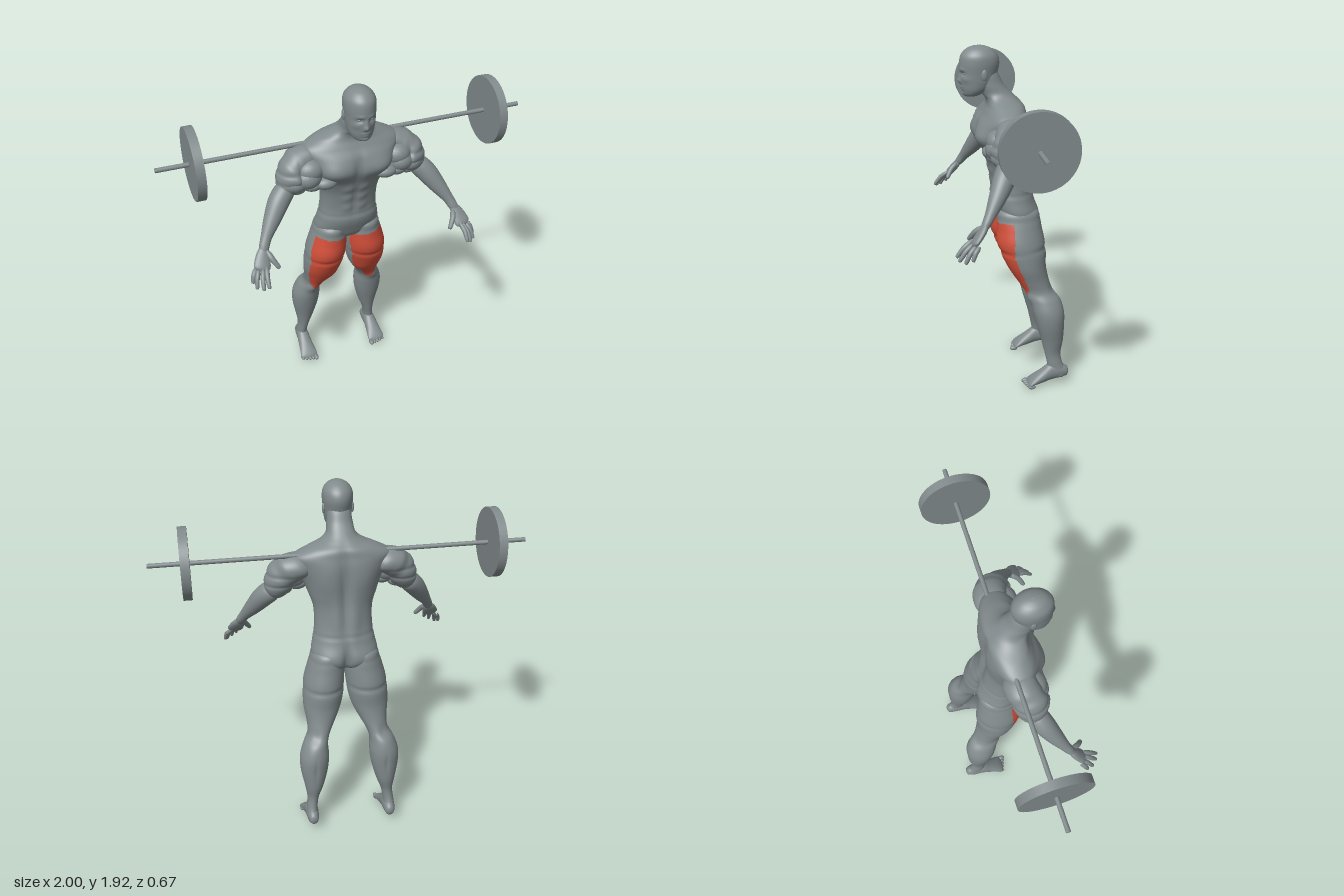
import * as THREE from 'three';

const V3 = (x, y, z) => new THREE.Vector3(x, y, z);
const UP = V3(0, 1, 0);

// Smooth skin over elliptical rings [x, y, z, halfWidth, halfDepth].
// bumps: [x, y, z, sizeX, sizeY, sizeZ, height], mirrored over x when twoSided.
function loft(rows, { n = 32, steps = 40, dir, square = 1, bumps = [], twoSided = false, paint } = {}) {
  const at = r => V3(rows[r][0], rows[r][1], rows[r][2]);
  const D = dir || at(rows.length - 1).sub(at(0)).normalize();
  const U = V3(1, 0, 0).addScaledVector(D, -D.x).normalize();
  const W = D.clone().cross(U);
  const spline = (t, k) => {
    const f = t * (rows.length - 1), i = Math.min(Math.floor(f), rows.length - 2), u = f - i;
    const p = j => rows[Math.max(0, Math.min(rows.length - 1, j))][k];
    const [a, b, c, d] = [p(i - 1), p(i), p(i + 1), p(i + 2)];
    return b + 0.5 * u * (c - a + u * (2 * a - 5 * b + 4 * c - d + u * (3 * (b - c) + d - a)));
  };
  const pow = v => Math.sign(v) * Math.abs(v) ** square;
  const pos = [], pts = [];
  for (let i = 0; i <= steps; i++) {
    const [x, y, z, ru, rv] = [0, 1, 2, 3, 4].map(k => spline(i / steps, k));
    for (let j = 0; j < n; j++) {
      const a = j / n * Math.PI * 2, c = pow(Math.cos(a)), s = pow(Math.sin(a));
      const out = U.clone().multiplyScalar(c).addScaledVector(W, s).normalize();
      const p = V3(x, y, z).addScaledVector(U, c * Math.max(ru, 0.001)).addScaledVector(W, s * Math.max(rv, 0.001));
      const px = twoSided ? Math.abs(p.x) : p.x;
      let h = 0;
      for (const b of bumps)
        h += b[6] * Math.exp(-(((px - b[0]) / b[3]) ** 2) - ((p.y - b[1]) / b[4]) ** 2 - ((p.z - b[2]) / b[5]) ** 2);
      p.addScaledVector(out, h);
      pts.push(p);
      pos.push(p.x, p.y, p.z);
    }
  }
  const lists = [[], []];
  for (let i = 0; i < steps; i++) for (let j = 0; j < n; j++) {
    const a = i * n + j, b = i * n + (j + 1) % n, c = b + n, d = a + n;
    const mid = pts[a].clone().add(pts[c]).multiplyScalar(0.5);
    lists[paint && paint(mid) ? 1 : 0].push(a, b, c, a, c, d);
  }
  const g = new THREE.BufferGeometry();
  g.setAttribute('position', new THREE.Float32BufferAttribute(pos, 3));
  g.setIndex([...lists[0], ...lists[1]]);
  if (paint) {
    g.addGroup(0, lists[0].length, 0);
    g.addGroup(lists[0].length, lists[1].length, 1);
  }
  g.computeVertexNormals();
  return g;
}

function mirrored(geo) {
  const g = geo.clone().scale(-1, 1, 1), idx = g.index;
  for (let i = 0; i < idx.count; i += 3) {
    const t = idx.getX(i + 1);
    idx.setX(i + 1, idx.getX(i + 2));
    idx.setX(i + 2, t);
  }
  return g;
}

const blob = (x, y, z, rx, ry = rx, rz = rx) => new THREE.SphereGeometry(1, 20, 14).scale(rx, ry, rz).translate(x, y, z);

// Tapered finger through a bent middle joint
function digit(a, b, r) {
  const m = a.clone().lerp(b, 0.5).add(V3(0.004, 0.004, 0.004));
  const e = b.clone().lerp(a, 0.06);
  const row = (p, k) => [p.x, p.y, p.z, r * k, r * k];
  return loft([row(a, 0.6), row(a.clone().lerp(m, 0.4), 1), row(m, 1), row(e, 0.75), row(b, 0.02)], { n: 10, steps: 14 });
}

export function createModel() {
  const model = new THREE.Group();
  const grey = new THREE.MeshStandardMaterial({ color: 0x818a8c });
  grey.name = 'grey';
  const red = new THREE.MeshStandardMaterial({ color: 0xd04e39 });
  red.name = 'muscleRed';
  const add = (name, geo, mat = grey) => {
    const m = new THREE.Mesh(geo, mat);
    m.name = name;
    model.add(m);
  };
  const pair = (name, geo, mat) => {
    add(name + 'Left', geo, mat);
    add(name + 'Right', mirrored(geo), mat);
  };

  // Torso, from the crotch to inside the skull
  const abs = [1.19, 1.255, 1.32].map(y => [0.04, y, 0.09, 0.03, 0.024, 0.05, 0.008]);
  add('torso', loft([
    [0, 0.93, -0.075, 0.01, 0.01], [0, 0.945, -0.075, 0.08, 0.06], [0, 0.975, -0.07, 0.16, 0.095],
    [0, 1.03, -0.06, 0.182, 0.112], [0, 1.10, -0.04, 0.17, 0.115], [0, 1.18, -0.03, 0.158, 0.103],
    [0, 1.28, -0.015, 0.16, 0.105], [0, 1.36, 0, 0.185, 0.117], [0, 1.44, 0.015, 0.215, 0.132],
    [0, 1.52, 0.015, 0.25, 0.13], [0, 1.57, 0.005, 0.258, 0.112], [0, 1.61, 0, 0.19, 0.098],
    [0, 1.64, 0.015, 0.115, 0.085], [0, 1.67, 0.04, 0.078, 0.08], [0, 1.72, 0.075, 0.068, 0.07],
    [0, 1.79, 0.1, 0.055, 0.055], [0, 1.80, 0.1, 0.005, 0.005]], {
    n: 72, steps: 120, dir: UP, square: 0.9, twoSided: true, bumps: [
      ...abs,
      [0.12, 1.455, 0.14, 0.09, 0.06, 0.08, 0.036],
      [0, 1.47, 0.15, 0.018, 0.08, 0.08, -0.014],
      [0, 1.25, 0.09, 0.012, 0.11, 0.05, -0.008],
      [0, 1.39, -0.12, 0.026, 0.19, 0.08, -0.022],
      [0.1, 1.45, -0.12, 0.07, 0.1, 0.06, 0.012],
      [0.045, 1.22, -0.12, 0.03, 0.1, 0.05, 0.008],
      [0.09, 1.0, -0.17, 0.07, 0.06, 0.07, 0.016],
      [0, 1.0, -0.18, 0.018, 0.08, 0.08, -0.03],
      [0, 1.135, -0.03, 1, 0.007, 1, -0.004],
    ],
  }));

  // Head with face relief
  add('head', loft([
    [0, 1.652, 0.185, 0.004, 0.004], [0, 1.662, 0.172, 0.04, 0.038], [0, 1.69, 0.153, 0.062, 0.07],
    [0, 1.73, 0.14, 0.072, 0.09], [0, 1.78, 0.135, 0.077, 0.1], [0, 1.83, 0.131, 0.081, 0.105],
    [0, 1.87, 0.132, 0.076, 0.096], [0, 1.90, 0.133, 0.054, 0.068], [0, 1.915, 0.134, 0.026, 0.035],
    [0, 1.92, 0.134, 0.001, 0.001]], {
    n: 80, steps: 80, dir: UP, twoSided: true, bumps: [
      [0, 1.738, 0.235, 0.013, 0.014, 0.05, 0.016],
      [0, 1.762, 0.235, 0.009, 0.02, 0.05, 0.007],
      [0.03, 1.778, 0.22, 0.016, 0.011, 0.04, -0.01],
      [0.026, 1.8, 0.225, 0.02, 0.008, 0.04, 0.004],
      [0, 1.707, 0.225, 0.02, 0.005, 0.04, 0.006],
      [0, 1.694, 0.225, 0.018, 0.005, 0.04, 0.006],
      [0, 1.67, 0.21, 0.02, 0.012, 0.04, 0.008],
      [0.045, 1.75, 0.2, 0.018, 0.016, 0.03, 0.004],
    ],
  }));
  pair('eye', blob(0.03, 1.778, 0.212, 0.012, 0.007, 0.008));
  pair('ear', blob(0.077, 1.775, 0.115, 0.008, 0.029, 0.016));

  // Legs, with the front of the thigh coloured and tapering to the knee
  const thighFront = p => p.y > 0.545 && p.y < Math.min(0.985, 0.962 + 0.13 * p.x)
    && p.z > (p.y > 0.8 ? -0.022 : -0.022 - (0.8 - p.y) * 0.42)
    && (p.y > 0.65 || Math.abs(p.x - 0.164) < 0.018 + 0.55 * (p.y - 0.55));
  pair('leg', loft([
    [0.225, 0.04, -0.28, 0.004, 0.004], [0.225, 0.055, -0.28, 0.026, 0.042], [0.225, 0.09, -0.27, 0.031, 0.054],
    [0.222, 0.14, -0.255, 0.030, 0.044], [0.214, 0.2, -0.244, 0.034, 0.046], [0.206, 0.28, -0.241, 0.055, 0.062],
    [0.202, 0.38, -0.229, 0.077, 0.079], [0.198, 0.46, -0.218, 0.081, 0.088], [0.187, 0.53, -0.2, 0.068, 0.085],
    [0.165, 0.58, -0.17, 0.062, 0.08], [0.148, 0.64, -0.138, 0.079, 0.088], [0.134, 0.72, -0.105, 0.104, 0.106],
    [0.124, 0.80, -0.086, 0.113, 0.125], [0.117, 0.87, -0.072, 0.112, 0.132], [0.106, 0.94, -0.067, 0.104, 0.123],
    [0.1, 0.99, -0.064, 0.094, 0.117], [0.095, 1.04, -0.058, 0.08, 0.105], [0.09, 1.08, -0.05, 0.01, 0.02]], {
    n: 88, steps: 136, dir: UP, paint: thighFront, bumps: [
      [0.12, 0.815, 0.05, 0.2, 0.014, 0.1, -0.008],
      [0.12, 0.83, -0.2, 0.2, 0.014, 0.1, -0.006],
      [0.19, 0.545, -0.12, 0.03, 0.03, 0.03, 0.01],
      [0.09, 0.68, -0.06, 0.04, 0.05, 0.06, 0.01],
      [0.19, 0.58, -0.25, 0.03, 0.04, 0.04, -0.008],
      [0.2, 0.4, -0.3, 0.012, 0.06, 0.03, -0.006],
    ],
  }), [grey, red]);

  // Feet and toes
  pair('foot', loft([
    [0.222, 0.08, -0.336, 0.004, 0.004], [0.222, 0.08, -0.325, 0.024, 0.03], [0.223, 0.086, -0.28, 0.034, 0.046],
    [0.224, 0.084, -0.23, 0.037, 0.053], [0.225, 0.059, -0.18, 0.042, 0.041], [0.225, 0.036, -0.13, 0.049, 0.025],
    [0.225, 0.022, -0.105, 0.047, 0.015], [0.225, 0.017, -0.095, 0.01, 0.006]], { dir: V3(0, 0, 1) }));
  for (let i = 0; i < 5; i++) {
    const x = 0.187 + i * 0.0195;
    pair('toe' + (i + 1), blob(x, i ? 0.012 : 0.014, -0.092 - i * 0.006, i ? 0.0105 : 0.014, i ? 0.012 : 0.014, 0.023));
  }

  // Arms with heavy, ridged upper muscles
  pair('upperArm', loft([
    [0.16, 1.55, -0.01, 0.03, 0.03], [0.21, 1.53, -0.008, 0.066, 0.078], [0.265, 1.505, 0, 0.078, 0.086],
    [0.3, 1.475, 0.015, 0.076, 0.086], [0.325, 1.445, 0.028, 0.086, 0.092], [0.35, 1.41, 0.035, 0.08, 0.084],
    [0.375, 1.375, 0.04, 0.06, 0.062], [0.395, 1.35, 0.045, 0.02, 0.02]], {
    steps: 70, n: 56, bumps: [
      [0.31, 1.52, 0.02, 0.06, 0.04, 0.1, 0.01], [0.29, 1.43, 0.1, 0.05, 0.04, 0.05, 0.016],
      [0.34, 1.47, 0.05, 0.1, 0.012, 0.15, -0.008], [0.34, 1.415, 0.05, 0.1, 0.01, 0.15, -0.008],
      [0.3, 1.45, 0.1, 0.012, 0.06, 0.06, -0.008]],
  }));
  // centre and size of each swollen muscle in front of the arm
  const swellings = [
    [0.255, 1.43, 0.07, 0.075, 0.062, 0.072], [0.235, 1.39, 0.075, 0.06, 0.038, 0.055],
    [0.32, 1.405, 0.07, 0.06, 0.048, 0.055], [0.362, 1.425, 0.035, 0.042, 0.04, 0.045],
    [0.31, 1.37, 0.055, 0.05, 0.036, 0.042], [0.24, 1.47, 0.07, 0.075, 0.06, 0.065],
    [0.165, 1.395, 0.1, 0.06, 0.035, 0.045]];
  swellings.forEach((s, i) => pair('armMuscle' + (i + 1), blob(...s)));
  pair('forearm', loft([
    [0.35, 1.40, 0.03, 0.03, 0.03], [0.375, 1.365, 0.045, 0.054, 0.056], [0.42, 1.315, 0.075, 0.056, 0.056],
    [0.47, 1.245, 0.115, 0.045, 0.044], [0.515, 1.18, 0.155, 0.03, 0.029], [0.537, 1.14, 0.18, 0.027, 0.023],
    [0.55, 1.115, 0.197, 0.02, 0.016]], { steps: 44 }));

  // Hands
  pair('palm', loft([
    [0.535, 1.145, 0.178, 0.018, 0.014], [0.548, 1.115, 0.197, 0.033, 0.019], [0.56, 1.085, 0.22, 0.041, 0.019],
    [0.572, 1.055, 0.245, 0.041, 0.016], [0.578, 1.043, 0.255, 0.01, 0.005]], { steps: 20 }));
  const fingers = [[0.602, 1.05, 0.225, 0.63, 0.985, 0.262], [0.59, 1.052, 0.24, 0.618, 0.97, 0.297],
    [0.568, 1.056, 0.25, 0.59, 0.972, 0.325], [0.55, 1.065, 0.255, 0.563, 0.985, 0.335]];
  fingers.forEach((f, i) => pair('finger' + (i + 1), digit(V3(...f.slice(0, 3)), V3(...f.slice(3)), 0.0125)));
  pair('thumb', digit(V3(0.53, 1.125, 0.2), V3(0.485, 1.045, 0.265), 0.015));

  // Barbell
  const rod = (r, len, x) => new THREE.CylinderGeometry(r, r, len, 64).rotateZ(Math.PI / 2).translate(x, 1.577, -0.02);
  add('bar', rod(0.012, 2, 0));
  pair('weightPlate', rod(0.187, 0.046, 0.811));
  return model;
}
